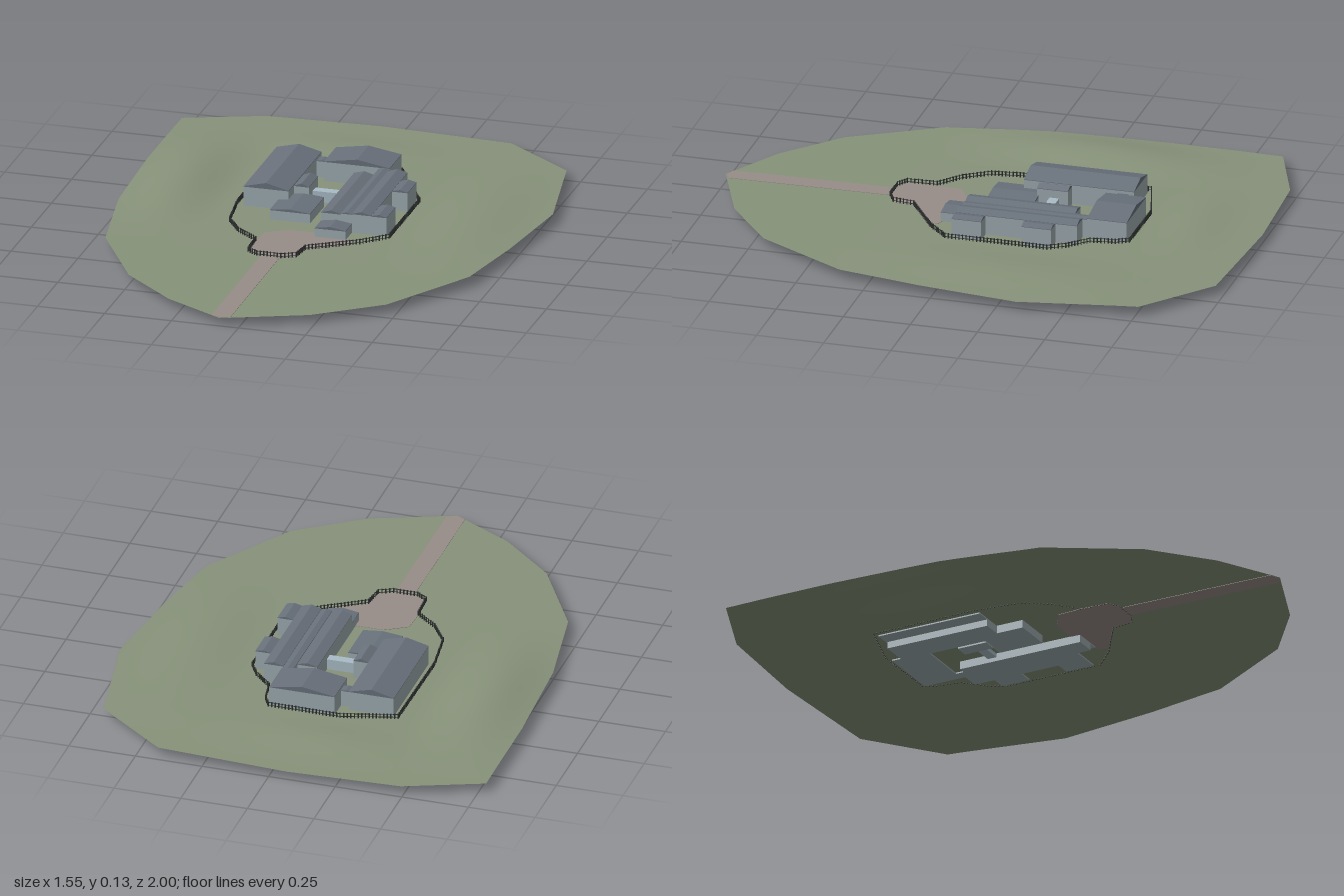
import * as THREE from 'three';
import { mergeGeometries } from 'three/addons/utils/BufferGeometryUtils.js';

const mat = (name, color, side = THREE.FrontSide) => {
  const m = new THREE.MeshStandardMaterial({ color, side });
  m.name = name;
  return m;
};

// ground plan of the site, [x, z]
const OUTLINE = [
  [-0.775, -0.87], [-0.49, -0.98], [-0.07, -1], [0.425, -0.97], [0.695, -0.76], [0.775, -0.325],
  [0.727, 0.055], [0.67, 0.36], [0.463, 0.705], [0.23, 0.88], [-0.07, 1], [-0.3, 0.87],
  [-0.505, 0.685], [-0.69, 0.36], [-0.755, -0.02], [-0.775, -0.45],
];
const FORECOURT = [
  [-0.16, 0.15], [-0.08, 0.1], [0.03, 0.1], [0.17, 0.14], [0.17, 0.18], [0.03, 0.27], [0.02, 0.35],
  [-0.03, 0.375], [-0.035, 0.375], [-0.105, 0.375], [-0.12, 0.375], [-0.16, 0.35], [-0.165, 0.24],
];
const FENCE = [
  [-0.33, -0.51], [-0.13, -0.568], [0.14, -0.565], [0.165, -0.52], [0.18, -0.43], [0.25, -0.36],
  [0.285, -0.3], [0.285, 0.08], [0.2, 0.16], [0.03, 0.27], [0.02, 0.35], [-0.03, 0.375], [-0.12, 0.375],
  [-0.16, 0.35], [-0.165, 0.24], [-0.25, 0.17], [-0.31, 0.08], [-0.335, -0.1],
];

// gentle hills left, right and behind a level yard
const bump = (d) => (Math.abs(d) < 1 ? 0.5 + 0.5 * Math.cos(Math.PI * d) : 0);
const height = (x, z) =>
  0.035 - 0.005 * Math.max(0, (z - 0.37) / 0.63) - 0.004 * Math.max(0, (-z - 0.7) / 0.3)
  + 0.03 * bump((x + 0.59) / 0.21) * bump((z + 0.25) / 0.6)
  + 0.015 * bump((x - 0.52) / 0.24) * bump((z + 0.2) / 0.65)
  + 0.01 * bump((x + 0.1) / 0.4) * bump((z + 0.74) / 0.16);

function terrainGeometry() {
  const steps = 6, rings = 26, cx = -0.04, cz = 0;
  const rim = [];
  OUTLINE.forEach(([x, z], i) => {
    const [nx, nz] = OUTLINE[(i + 1) % OUTLINE.length];
    for (let k = 0; k < steps; k++) rim.push([x + (nx - x) * k / steps, z + (nz - z) * k / steps]);
  });
  const pos = [], idx = [], n = rim.length;
  for (let r = 0; r <= rings; r++) {
    for (const [rx, rz] of rim) {
      const x = cx + (rx - cx) * r / rings, z = cz + (rz - cz) * r / rings;
      pos.push(x, height(x, z), z);
    }
  }
  for (let r = 0; r < rings; r++) {
    for (let i = 0; i < n; i++) {
      const a = r * n + i, b = r * n + (i + 1) % n, c = a + n, d = b + n;
      idx.push(a, d, c);
      if (r > 0) idx.push(a, b, d);
    }
  }
  const g = new THREE.BufferGeometry();
  g.setAttribute('position', new THREE.Float32BufferAttribute(pos, 3));
  g.setIndex(idx);
  g.computeVertexNormals();
  return g;
}

// thin slab laid over the ground along a plan polygon
function slabGeometry(points) {
  const shape = new THREE.Shape(points.map(([x, z]) => new THREE.Vector2(x, -z)));
  const g = new THREE.ExtrudeGeometry(shape, { depth: 0.003, bevelEnabled: false });
  g.rotateX(-Math.PI / 2);
  const p = g.attributes.position;
  for (let i = 0; i < p.count; i++) p.setY(i, p.getY(i) - 0.0015 + height(p.getX(i), p.getZ(i)));
  g.computeVertexNormals();
  return g;
}

const boxGeometry = (x0, x1, y0, y1, z0, z1) =>
  new THREE.BoxGeometry(x1 - x0, y1 - y0, z1 - z0)
    .translate((x0 + x1) / 2, (y0 + y1) / 2, (z0 + z1) / 2);

// gable prism with its ridge along z
function gableGeometry(x0, x1, eave, ridge, z0, z1) {
  const s = new THREE.Shape();
  s.moveTo(x0, eave);
  s.lineTo(x1, eave);
  s.lineTo(x1, eave + 0.002);
  s.lineTo((x0 + x1) / 2, ridge);
  s.lineTo(x0, eave + 0.002);
  s.closePath();
  return new THREE.ExtrudeGeometry(s, { depth: z1 - z0, bevelEnabled: false }).translate(0, 0, z0);
}

function fenceGeometry() {
  const parts = [];
  FENCE.forEach(([x, z], i) => {
    const [nx, nz] = FENCE[(i + 1) % FENCE.length];
    const dx = nx - x, dz = nz - z, len = Math.hypot(dx, dz);
    const count = Math.max(1, Math.round(len / 0.013));
    for (let k = 0; k < count; k++) {
      const px = x + dx * k / count, pz = z + dz * k / count;
      parts.push(new THREE.BoxGeometry(0.004, 0.022, 0.004).translate(px, height(px, pz) + 0.009, pz));
    }
    for (const lift of [0.006, 0.017]) {
      parts.push(new THREE.BoxGeometry(len, 0.002, 0.0015).rotateY(-Math.atan2(dz, dx))
        .translate(x + dx / 2, 0.035 + lift, z + dz / 2));
    }
  });
  return mergeGeometries(parts);
}

export function createModel() {
  const model = new THREE.Group();
  const grass = mat('grass green', 0x87927a, THREE.DoubleSide);
  const paving = mat('paving taupe', 0x978d88);
  const wall = mat('wall grey', 0x9dabb0);
  const roof = mat('roof slate', 0x69717b);
  const glass = mat('pale glass', 0xa9bcc6);
  const iron = mat('fence dark', 0x2e3130);

  const add = (name, geometry, material, parent = model) => {
    const m = new THREE.Mesh(geometry, material);
    m.name = name;
    parent.add(m);
  };

  // ground, drive and forecourt
  add('terrain', terrainGeometry(), grass);
  add('drive', slabGeometry([[-0.105, 0.375], [-0.035, 0.375], [-0.035, 0.98], [-0.07, 0.995], [-0.105, 0.98]]), paving);
  add('forecourt', slabGeometry(FORECOURT), paving);

  // buildings: name, x0, x1, z0, z1, base, eave, ridge
  const buildings = [
    ['westHall', -0.31, -0.142, -0.5, -0.09, 0.03, 0.107, 0.13],
    ['backHall', -0.105, 0.14, -0.555, -0.407, 0.03, 0.108, 0.13],
    ['entranceLodge', -0.18, -0.03, -0.16, 0.015, 0.005, 0.07, 0.08],
    ['stairBlock', -0.14, -0.085, -0.27, -0.155, 0, 0.104, 0.117],
    ['innerWing', 0.025, 0.1, -0.35, 0.06, 0.005, 0.1, 0.112],
    ['spineCorridor', 0.1, 0.14, -0.407, 0.06, 0.03, 0.104, 0.11],
    ['eastWing', 0.14, 0.212, -0.39, 0.06, 0.03, 0.106, 0.118],
    ['eastBayBack', 0.212, 0.27, -0.31, -0.2, 0.03, 0.105, 0.114],
    ['eastBayFront', 0.212, 0.27, -0.05, 0.06, 0.03, 0.105, 0.114],
    ['frontPavilion', 0.025, 0.14, 0.06, 0.138, 0.03, 0.068, 0.079],
    ['hallLink', -0.142, -0.105, -0.48, -0.44, 0.03, 0.095, 0.1],
  ];
  for (const [name, x0, x1, z0, z1, base, eave, ridge] of buildings) {
    const g = new THREE.Group();
    g.name = name;
    add('walls', boxGeometry(x0, x1, base, eave, z0, z1), wall, g);
    add('gableRoof', gableGeometry(x0, x1, eave, ridge, z0, z1), roof, g);
    model.add(g);
  }
  // cellars under the west hall and the front pavilion
  add('westCellar', boxGeometry(-0.253, -0.142, 0.005, 0.032, -0.495, -0.09), wall);
  add('pavilionCellar', boxGeometry(0.025, 0.104, 0.005, 0.032, 0.06, 0.138), wall);
  // glazed passage across the courtyard
  add('glazedPassage', boxGeometry(-0.085, 0.025, 0.02, 0.075, -0.237, -0.202), glass);

  add('boundaryFence', fenceGeometry(), iron);
  return model;
}
